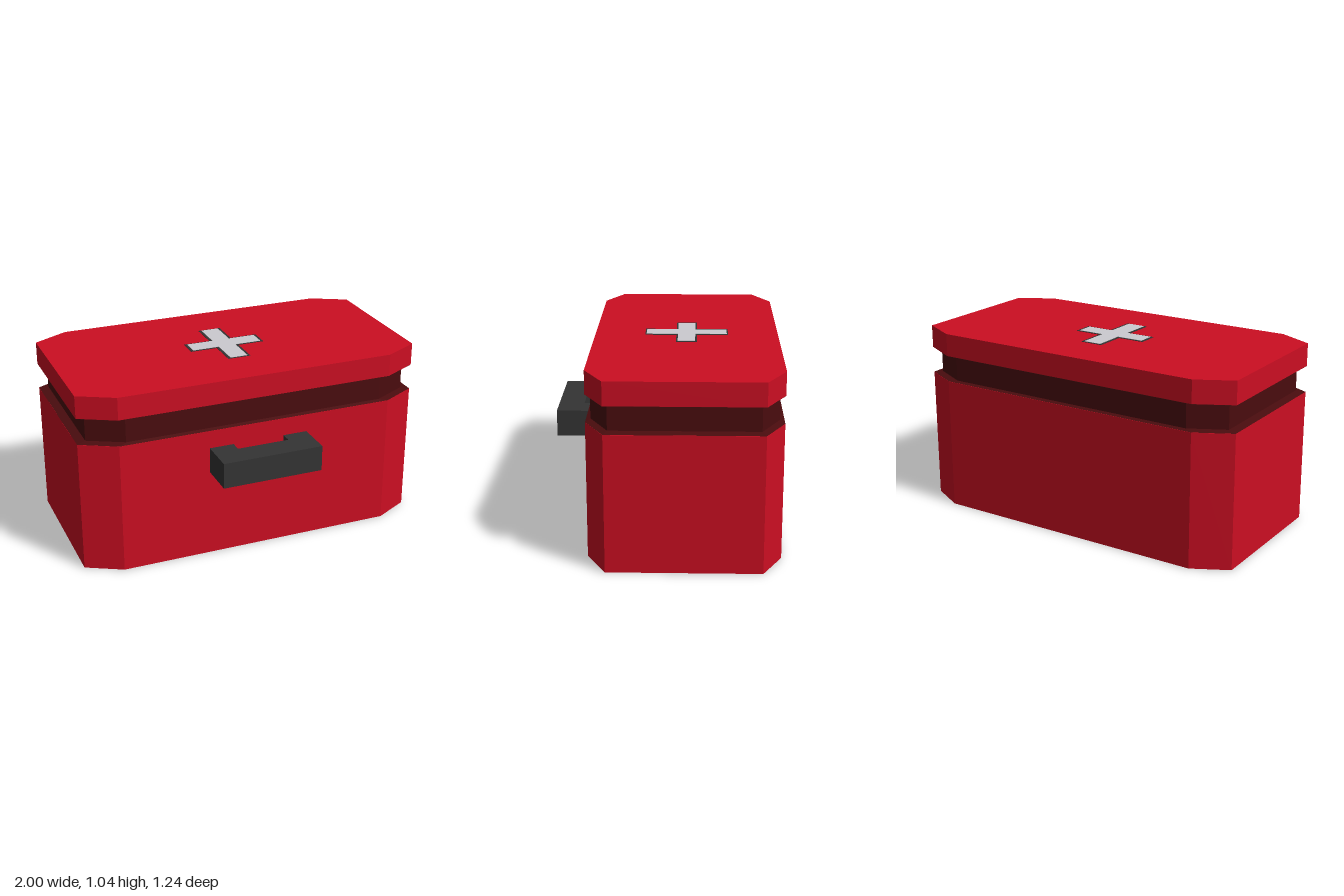
import * as THREE from 'three';

const CZ = -0.104; // depth centre of the case

const mat = (name, color) => {
  const m = new THREE.MeshStandardMaterial({ color });
  m.name = name;
  return m;
};

// Chamfered rectangle outline in (x, z), counter-clockwise seen from above after the z flip
function outline(inset) {
  const x = 1 - inset, z = 0.518 - inset / 2;
  const cx = 0.8 - inset * 0.9, cz = 0.413 - inset * 0.4;
  return [[x, -cz], [x, cz], [cx, z], [-cx, z], [-x, cz], [-x, -cz], [-cx, -z], [cx, -z]];
}

// Shape drawn in (x, -z) and extruded upwards
function slab(points, y, height) {
  const shape = new THREE.Shape(points.map(([x, z]) => new THREE.Vector2(x, -z)));
  return new THREE.ExtrudeGeometry(shape, { depth: height, bevelEnabled: false })
    .rotateX(-Math.PI / 2).translate(0, y, 0);
}

// Walls joining stacked chamfered outlines: profile of [inset, y]
function walls(profile) {
  const pos = [];
  for (let r = 0; r < profile.length - 1; r++) {
    const lo = outline(profile[r][0]), hi = outline(profile[r + 1][0]);
    for (let i = 0; i < lo.length; i++) {
      const j = (i + 1) % lo.length;
      const p = ([x, z], y) => [x, y, z];
      const a = p(lo[i], profile[r][1]), b = p(lo[j], profile[r][1]);
      const c = p(hi[j], profile[r + 1][1]), d = p(hi[i], profile[r + 1][1]);
      pos.push(...a, ...c, ...b, ...a, ...d, ...c);
    }
  }
  const g = new THREE.BufferGeometry();
  g.setAttribute('position', new THREE.Float32BufferAttribute(pos, 3));
  g.computeVertexNormals();
  return g;
}

// Plus-shaped outline: half length in x and z, half arm widths
function cross(lx, lz, wx, wz) {
  return [[wx, lz], [wx, wz], [lx, wz], [lx, -wz], [wx, -wz], [wx, -lz],
    [-wx, -lz], [-wx, -wz], [-lx, -wz], [-lx, wz], [-wx, wz], [-wx, lz]];
}

export function createModel() {
  const group = new THREE.Group();
  const red = mat('case red', 0xcc0e22);
  const maroon = mat('dark maroon', 0x4a0c0e);
  maroon.side = THREE.DoubleSide;
  const dark = mat('charcoal', 0x343434);
  const white = mat('pale grey', 0xcccbd0);

  const add = (name, geometry, material, z = CZ) => {
    const mesh = new THREE.Mesh(geometry, material);
    mesh.name = name;
    mesh.position.z = z;
    group.add(mesh);
  };

  // Case body, recessed seam and lid
  add('body', slab(outline(0), 0, 0.757), red);
  add('seam', walls([[0, 0.758], [0.05, 0.764], [0.05, 0.902], [0, 0.908]]), maroon);
  add('lid', slab(outline(0), 0.909, 0.129), red);

  // Cross on the lid with its thin dark border
  add('crossBorder', slab(cross(0.221, 0.235, 0.066, 0.058), 1.037, 0.003), dark);
  add('crossEmblem', slab(cross(0.206, 0.228, 0.051, 0.049), 1.037, 0.005), white);

  // U-shaped front handle
  add('handle', slab([[-0.29, 0.4], [-0.29, 0.62], [0.29, 0.62], [0.29, 0.4],
    [0.15, 0.4], [0.15, 0.477], [-0.15, 0.477], [-0.15, 0.4]], 0.507, 0.147), dark, 0);

  return group;
}
